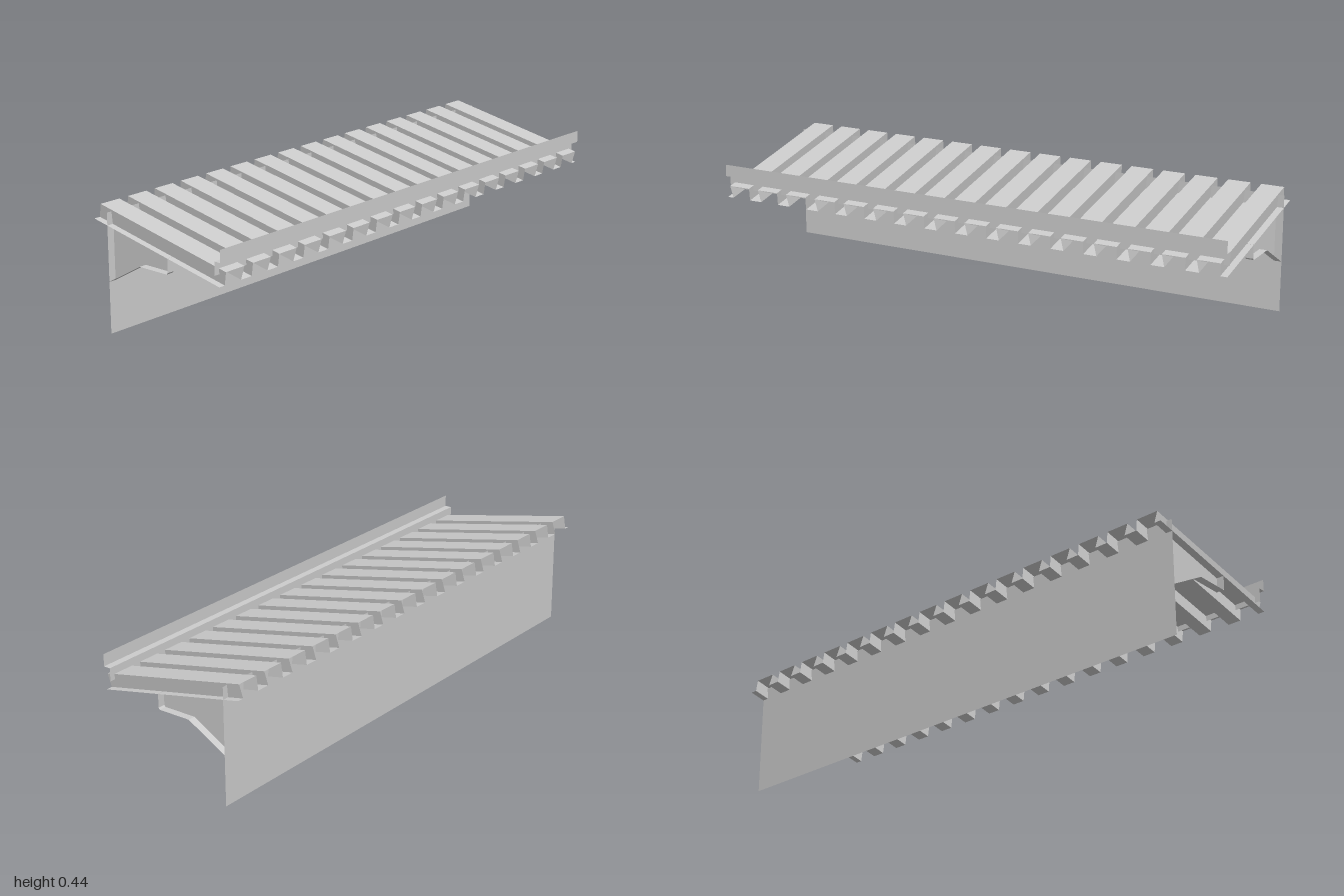
import * as THREE from 'three';

const material = new THREE.MeshStandardMaterial({ color: 0xcccccc, flatShading: true, side: THREE.DoubleSide });

// Thin folded sheet: sweeps a polyline of [x, y, z] points along one straight offset
function foldedSheet(name, points, offset) {
  const pos = [];
  const sweep = new THREE.Vector3(...offset);
  for (let i = 0; i < points.length - 1; i++) {
    const a = new THREE.Vector3(...points[i]);
    const b = new THREE.Vector3(...points[i + 1]);
    const c = b.clone().add(sweep);
    const d = a.clone().add(sweep);
    for (const v of [a, b, c, a, c, d]) pos.push(v.x, v.y, v.z);
  }
  const geometry = new THREE.BufferGeometry();
  geometry.setAttribute('position', new THREE.Float32BufferAttribute(pos, 3));
  geometry.computeVertexNormals();
  const mesh = new THREE.Mesh(geometry, material);
  mesh.name = name;
  return mesh;
}

// Flat side plate from a (z, y) outline, standing at a given x
function sidePlate(outline, x) {
  const shape = new THREE.Shape(outline.map(([z, y]) => new THREE.Vector2(-z, y)));
  const geometry = new THREE.ShapeGeometry(shape);
  geometry.rotateY(Math.PI / 2);
  geometry.translate(x, 0, 0);
  const mesh = new THREE.Mesh(geometry, material);
  mesh.name = 'bracketSide';
  return mesh;
}

export function createModel() {
  const group = new THREE.Group();

  // Corrugated roof deck, its ends cut square to the slope
  const pitch = 0.125, slotBottom = 0.025, slotTop = 0.02;
  const profile = [];
  const high = (x) => profile.push([x, 0.324, 0.293]);
  const low = (x) => profile.push([x, 0.276, 0.282]);
  for (let i = -8; i <= 8; i++) {
    const x = i * pitch;
    if (i > -8) { high(x - slotTop); low(x - slotBottom); }
    else low(x);
    if (i < 8) { low(x + slotBottom); high(x + slotTop); }
    else low(x);
  }
  group.add(foldedSheet('roofDeck', profile, [0, 0.117, -0.573]));

  // Back wall
  group.add(foldedSheet('backWall', [[-1, 0, -0.229], [-1, 0.425, -0.229]], [2, 0, 0]));

  // Stepped flashing along the front edge
  group.add(foldedSheet('frontFlashing', [
    [-1, 0.31, 0.262], [-1, 0.358, 0.262], [-1, 0.358, 0.288], [-1, 0.402, 0.288],
  ], [2, 0, 0]));

  // Brackets under every second channel; the two end ones are cut open in half
  const outline = [
    [0.05, 0.324], [0.05, 0.274], [0.045, 0.268],
    [-0.08, 0.268], [-0.229, 0.184], [-0.229, 0.381],
  ];
  const half = 0.028;
  for (let i = -4; i <= 4; i++) {
    const x0 = Math.max(-1, i * 0.25 - half);
    const x1 = Math.min(1, i * 0.25 + half);
    const bracket = new THREE.Group();
    bracket.name = 'bracket';
    const underside = outline.slice(0, 5).map(([z, y]) => [x0, y, z]);
    bracket.add(foldedSheet('bracketUnderside', underside, [x1 - x0, 0, 0]));
    if (i > -4) bracket.add(sidePlate(outline, x0));
    if (i < 4) bracket.add(sidePlate(outline, x1));
    group.add(bracket);
  }

  return group;
}
